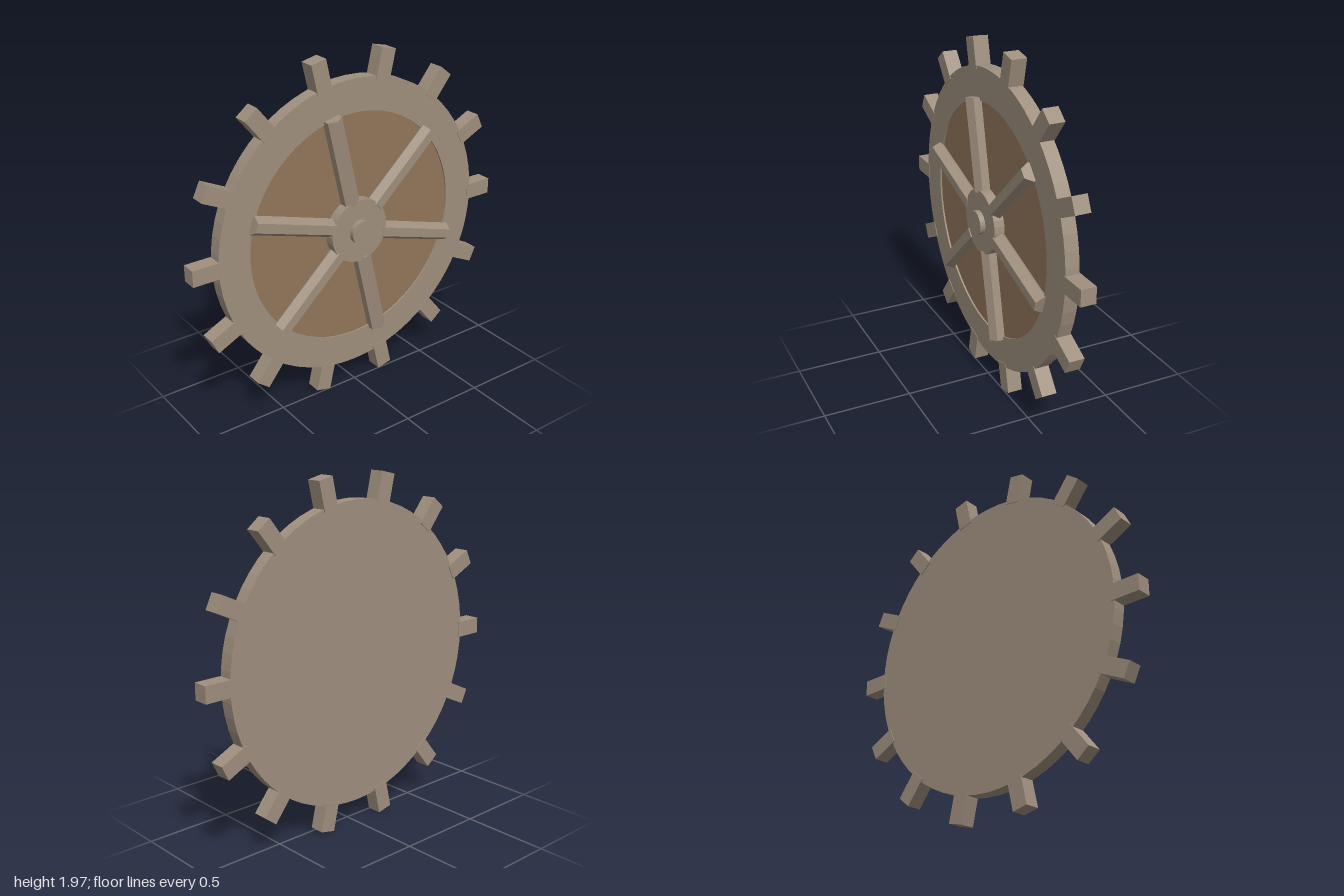
import * as THREE from 'three';

export function createModel() {
  const stone = new THREE.MeshStandardMaterial({ color: 0x9f8f7e });
  stone.name = 'greyTan';
  const wood = new THREE.MeshStandardMaterial({ color: 0x92755a });
  wood.name = 'brownWood';

  const model = new THREE.Group();
  model.name = 'cogWheel';

  // The wheel turns about x; its centre is the origin of this group
  const wheel = new THREE.Group();
  wheel.name = 'wheel';
  wheel.position.set(0, 0.985, 0);
  model.add(wheel);

  // Faceted mesh
  function add(name, geometry, material, parent) {
    const flat = geometry.toNonIndexed();
    flat.computeVertexNormals();
    const mesh = new THREE.Mesh(flat, material);
    mesh.name = name;
    parent.add(mesh);
    return mesh;
  }

  // Round part lying along x, from x0 to x1
  function disc(name, radius, x0, x1, sides, material) {
    const g = new THREE.CylinderGeometry(radius, radius, x1 - x0, sides);
    g.rotateZ(-Math.PI / 2).translate((x0 + x1) / 2, 0, 0);
    return add(name, g, material, wheel);
  }

  // Holder whose +y points outwards at an angle in the wheel plane
  function radial(name, degrees) {
    const arm = new THREE.Group();
    arm.name = name;
    arm.rotation.x = THREE.MathUtils.degToRad(degrees - 90);
    wheel.add(arm);
    return arm;
  }

  // Rim with a closed back and a shallow recess in the face
  const profile = [[0, -0.079], [0.85, -0.079], [0.85, 0], [0.665, 0], [0.665, -0.014]]
    .map(([r, h]) => new THREE.Vector2(r, h));
  add('rim', new THREE.LatheGeometry(profile, 64).rotateZ(-Math.PI / 2), stone, wheel);

  // Wooden panel, hub and axle
  disc('panel', 0.666, -0.06, -0.01, 64, wood);
  disc('hub', 0.183, -0.03, 0.05, 32, stone);
  disc('axle', 0.068, 0, 0.08, 32, stone);

  // Teeth around the rim
  for (let i = 0; i < 14; i++) {
    const tooth = new THREE.BoxGeometry(0.087, 0.17, 0.092);
    tooth.translate(-0.0405, 0.915, 0);
    add('toothBlock', tooth, stone, radial('tooth', i * 360 / 14));
  }

  // Six hexagonal spokes; one opposite pair lies with an edge outwards
  for (let i = 0; i < 6; i++) {
    const spoke = new THREE.CylinderGeometry(0.053, 0.053, 0.513, 6);
    if (i % 3 === 1) spoke.rotateY(Math.PI / 6);
    spoke.translate(0.0095, 0.4255, 0);
    add('spokeBar', spoke, stone, radial('spoke', 42.7 + i * 60));
  }

  return model;
}
